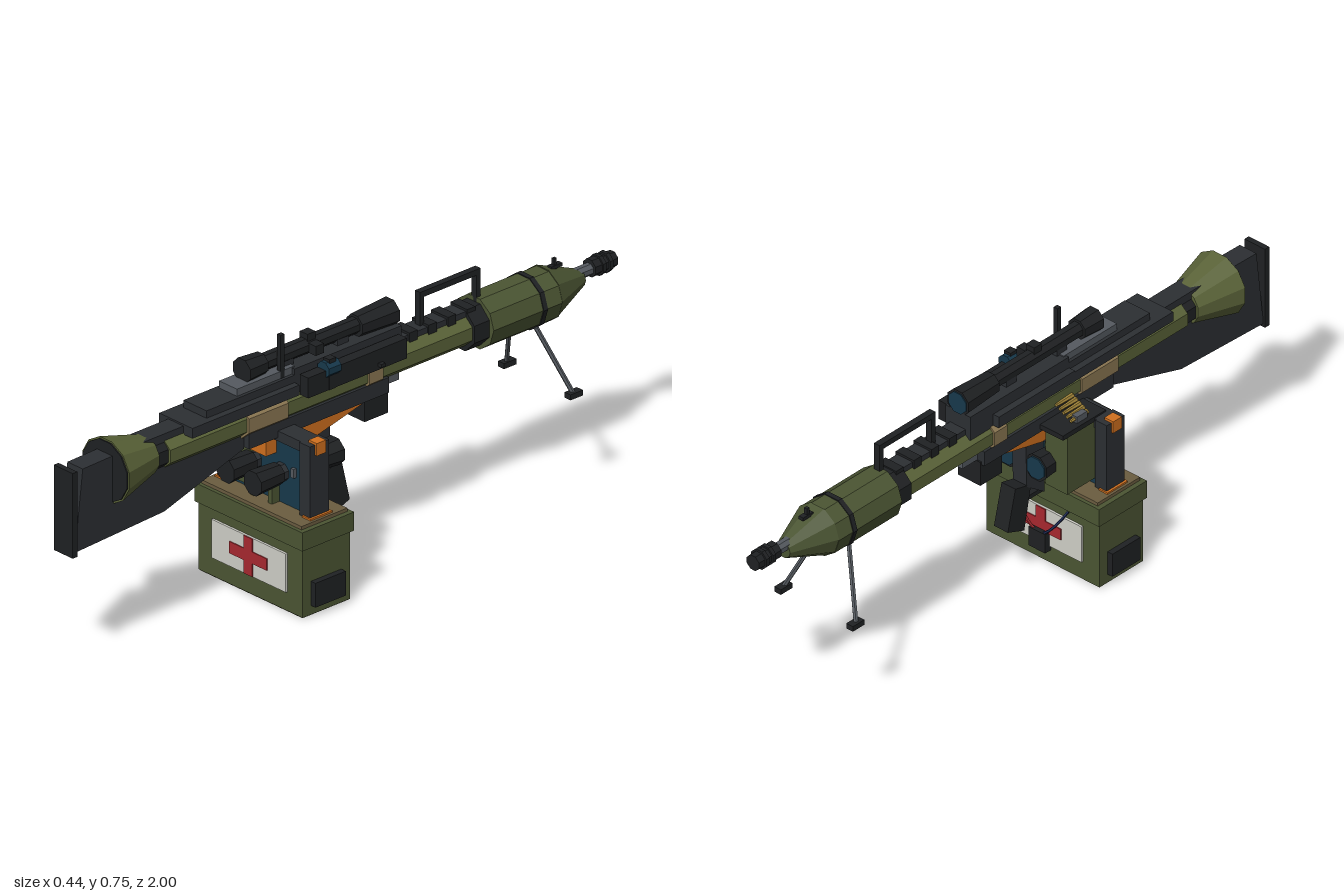
import * as THREE from 'three';

const palette = {
  olive: 0x4b5533, oliveLight: 0x5a6338, black: 0x1f2123, dark: 0x2c2f33, steel: 0x555a60,
  tan: 0x8b7752, canvas: 0x6b5d40, teal: 0x17394c, orange: 0xd0701f, red: 0xa8282f,
  white: 0xd0d0c8, brass: 0xa08338, brown: 0x4a4030, blue: 0x22305c,
};
const mats = {};
for (const k in palette) mats[k] = new THREE.MeshStandardMaterial({ color: palette[k], flatShading: true });

export function createModel() {
  const model = new THREE.Group();
  const add = (name, geo, color, x = 0, y = 0, z = 0) => {
    const m = new THREE.Mesh(geo, mats[color]);
    m.name = name;
    m.position.set(x, y, z);
    model.add(m);
    return m;
  };
  // box given by its ranges
  const box = (name, color, x0, x1, y0, y1, z0, z1) =>
    add(name, new THREE.BoxGeometry(x1 - x0, y1 - y0, z1 - z0), color, (x0 + x1) / 2, (y0 + y1) / 2, (z0 + z1) / 2);
  // cylinder along z: radius r0 at z0 (rear end), r1 at z1 (muzzle side), z0 > z1
  const barrel = (name, color, x, y, z0, z1, r0, r1 = r0, sides = 8) => {
    const g = new THREE.CylinderGeometry(r0, r1, z0 - z1, sides);
    g.rotateY(Math.PI / sides).rotateX(Math.PI / 2);
    return add(name, g, color, x, y, (z0 + z1) / 2);
  };
  // straight bar between two points
  const rod = (name, color, a, b, r, sides = 6) => {
    const p = new THREE.Vector3(...a), q = new THREE.Vector3(...b), d = q.clone().sub(p);
    const m = add(name, new THREE.CylinderGeometry(r, r, d.length(), sides), color);
    m.position.copy(p).lerp(q, 0.5);
    m.quaternion.setFromUnitVectors(new THREE.Vector3(0, 1, 0), d.normalize());
    return m;
  };
  // side profile of [z, y] points, extruded across x
  const profile = (name, color, pts, width, x = 0) => {
    const s = new THREE.Shape(pts.map(([z, y]) => new THREE.Vector2(-z, y)));
    const g = new THREE.ExtrudeGeometry(s, { depth: width, bevelEnabled: false });
    g.translate(0, 0, -width / 2).rotateY(Math.PI / 2);
    return add(name, g, color, x);
  };
  const sides = [-1, 1];

  // Stock
  profile('stock', 'dark', [[0.985, 0.355], [0.66, 0.37], [0.37, 0.46], [0.37, 0.6], [0.72, 0.6], [0.957, 0.594]], 0.06);
  box('buttPad', 'black', -0.037, 0.037, 0.345, 0.597, 0.983, 1);

  // Launcher tube, flared rear and bands
  barrel('launchTube', 'oliveLight', 0, 0.54, 0.66, -0.5, 0.058).scale.y = 0.86;
  barrel('rearCollar', 'black', 0, 0.54, 0.705, 0.655, 0.05);
  barrel('rearBell', 'oliveLight', 0, 0.543, 0.845, 0.7, 0.095, 0.056, 12);
  barrel('bellMouth', 'black', 0, 0.543, 0.849, 0.84, 0.09, 0.09, 12);
  barrel('rearBand', 'tan', 0, 0.54, 0.38, 0.235, 0.065).scale.y = 0.86;
  barrel('foreBand', 'tan', 0, 0.54, -0.06, -0.11, 0.065).scale.y = 0.86;

  // Warhead, nose and muzzle
  barrel('warheadCollar', 'black', 0, 0.54, -0.44, -0.505, 0.066);
  barrel('warhead', 'olive', 0, 0.54, -0.495, -0.745, 0.078, 0.078, 10);
  barrel('warheadRing', 'black', 0, 0.54, -0.675, -0.69, 0.081, 0.081, 10);
  barrel('noseCone', 'olive', 0, 0.543, -0.745, -0.88, 0.078, 0.025, 10);
  barrel('barrelTip', 'steel', 0, 0.557, -0.84, -0.93, 0.018);
  barrel('muzzleBrake', 'black', 0, 0.56, -0.915, -1, 0.027, 0.024);
  for (const z of [-0.94, -0.965]) barrel('brakeRing', 'black', 0, 0.56, z, z - 0.012, 0.031);
  box('frontSightPost', 'black', -0.005, 0.005, 0.57, 0.632, -0.792, -0.782);
  box('frontSightBar', 'black', -0.008, 0.008, 0.603, 0.613, -0.81, -0.77);

  // Bipod
  for (const s of sides) {
    rod('bipodLeg', 'steel', [s * 0.05, 0.48, -0.675], [s * 0.13, 0.295, -0.735], 0.007);
    box('bipodFoot', 'black', s * 0.13 - 0.012, s * 0.13 + 0.012, 0.284, 0.3, -0.76, -0.715);
  }

  // Receiver
  box('rearReceiver', 'dark', -0.065, 0.065, 0.575, 0.605, 0.2, 0.59);
  box('receiverStep', 'dark', -0.045, 0.045, 0.6, 0.627, 0.2, 0.52);
  box('receiverCover', 'steel', -0.035, 0.035, 0.62, 0.648, 0.19, 0.4);
  box('topCover', 'dark', -0.045, 0.045, 0.57, 0.645, -0.19, 0.2);
  box('lowerReceiver', 'dark', -0.05, 0.05, 0.465, 0.51, -0.14, 0.37);
  box('lowerFore', 'steel', -0.025, 0.025, 0.475, 0.505, -0.2, -0.14);
  box('foreBlock', 'black', -0.04, 0.04, 0.4, 0.475, -0.145, -0.06);
  box('handguard', 'dark', -0.028, 0.028, 0.56, 0.598, -0.5, -0.18);
  for (let i = 0; i < 4; i++) box('handguardRib', 'black', -0.033, 0.033, 0.57, 0.605, -0.26 - i * 0.07, -0.23 - i * 0.07);
  box('rightSidePlate', 'black', 0.055, 0.088, 0.57, 0.63, -0.17, 0.19);
  box('leftSidePlate', 'dark', -0.066, -0.04, 0.575, 0.61, -0.1, 0.2);
  box('sideSightMount', 'black', 0.066, 0.09, 0.57, 0.66, 0.09, 0.115);
  barrel('sideSight', 'teal', 0.077, 0.63, 0.125, 0.08, 0.024);
  box('chargingHandle', 'black', 0.06, 0.1, 0.58, 0.59, -0.08, -0.065);
  for (const [z0, z1] of [[0.22, 0.29], [-0.08, 0.17]])
    profile('orangeGuard', 'orange', [[z1, 0.41], [z1 - 0.06, 0.41], [z0, 0.455], [z0, 0.468], [z1, 0.468]], 0.06);

  // Carry handle
  box('carryGrip', 'black', -0.01, 0.01, 0.68, 0.697, -0.51, -0.29);
  for (const z of [-0.51, -0.305]) box('carryPost', 'black', -0.01, 0.01, 0.59, 0.69, z, z + 0.015);

  // Scope and antenna
  barrel('scopeEyepiece', 'black', 0, 0.674, 0.35, 0.28, 0.037, 0.032);
  barrel('scopeTube', 'black', 0, 0.674, 0.29, -0.06, 0.024);
  barrel('scopeObjective', 'black', 0, 0.672, -0.06, -0.19, 0.034, 0.041);
  barrel('scopeLens', 'teal', 0, 0.672, -0.185, -0.193, 0.034);
  box('scopeTurret', 'black', -0.015, 0.015, 0.68, 0.712, 0.095, 0.125);
  box('scopeSideKnob', 'black', 0.015, 0.048, 0.66, 0.688, 0.095, 0.125);
  for (const z of [0.2, 0]) box('scopeMount', 'dark', -0.02, 0.02, 0.64, 0.665, z - 0.02, z + 0.02);
  box('antenna', 'black', 0.022, 0.036, 0.62, 0.755, 0.228, 0.242);

  // Grip and magazine
  profile('grip', 'dark', [[0.12, 0.47], [0.05, 0.47], [0.055, 0.29], [0.125, 0.24]], 0.05);
  profile('magazine', 'black', [[0.072, 0.29], [0.01, 0.305], [-0.02, 0.18], [0.045, 0.155]], 0.05);
  box('triggerGuard', 'black', -0.012, 0.012, 0.232, 0.245, 0.04, 0.15);

  // Twin field glasses
  for (const s of sides) {
    const x = s * 0.053;
    barrel('glassesEyepiece', 'black', x, 0.362, 0.36, 0.27, 0.037, 0.032);
    barrel('glassesBody', 'dark', x, 0.362, 0.28, 0.14, 0.028);
    barrel('glassesObjective', 'black', x, 0.362, 0.16, 0.06, 0.034, 0.042);
    barrel('glassesLens', 'teal', x, 0.362, 0.065, 0.056, 0.035);
  }
  box('glassesBridge', 'dark', -0.05, 0.05, 0.35, 0.38, 0.18, 0.25);

  // Frame carrying the weapon
  for (const s of sides) {
    const x = s * 0.16;
    box('framePost', 'dark', x - 0.021, x + 0.021, 0.265, 0.485, 0.2, 0.27);
    box('postCap', 'orange', s * 0.172 - 0.016, s * 0.172 + 0.016, 0.455, 0.492, 0.218, 0.252);
    box('postFoot', 'orange', s * 0.172 - 0.016, s * 0.172 + 0.016, 0.268, 0.275, 0.195, 0.275);
    box('centreStrut', 'olive', s * 0.035 - 0.008, s * 0.035 + 0.008, 0.265, 0.33, 0.2, 0.28);
  }
  box('frameTop', 'dark', -0.15, 0.15, 0.455, 0.485, 0.205, 0.265);
  box('backPanel', 'teal', -0.14, 0.14, 0.265, 0.456, 0.212, 0.252);
  box('panelSwitch', 'steel', 0.097, 0.108, 0.363, 0.39, 0.25, 0.262);

  // Ammunition box with cartridge belt
  box('ammoBox', 'olive', -0.13, -0.052, 0.29, 0.48, 0.1, 0.272);
  box('ammoLid', 'black', -0.133, -0.05, 0.475, 0.49, 0.08, 0.25);
  box('ammoLatch', 'steel', -0.12, -0.1, 0.485, 0.51, 0.15, 0.19);
  for (let i = 0; i < 5; i++)
    barrel('cartridge', 'brass', -0.11 + i * 0.013, 0.5 + i * 0.007, 0.2, 0.135, 0.008, 0.005, 6);

  // Medical case
  box('caseBase', 'brown', -0.2, 0.2, 0, 0.006, 0.15, 0.315);
  box('caseBody', 'olive', -0.204, 0.204, 0.003, 0.21, 0.146, 0.318);
  box('caseLid', 'olive', -0.211, 0.211, 0.205, 0.26, 0.137, 0.326);
  box('caseTop', 'canvas', -0.196, 0.196, 0.258, 0.27, 0.148, 0.315);
  for (const s of sides) {
    box('caseHandle', 'black', s * 0.211 - 0.011, s * 0.211 + 0.011, 0.03, 0.102, 0.178, 0.288);
    const z = 0.232 + s * 0.088;
    box('emblemPanel', 'white', -0.145, 0.145, 0.06, 0.174, z - 0.005, z + 0.005);
    box('crossBar', 'red', -0.073, 0.073, 0.1, 0.135, z - 0.008, z + 0.008);
    box('crossUpright', 'red', -0.017, 0.017, 0.061, 0.173, z - 0.008, z + 0.008);
  }

  // Small instrument with two leads
  box('instrument', 'black', -0.03, 0.03, 0.045, 0.105, 0.122, 0.146);
  [['red', 0.08], ['blue', -0.1]].forEach(([color, x]) => {
    const curve = new THREE.QuadraticBezierCurve3(
      new THREE.Vector3(Math.sign(x) * 0.015, 0.1, 0.13),
      new THREE.Vector3(x * 0.6, 0.13, 0.115),
      new THREE.Vector3(x, 0.205, 0.138));
    add('lead', new THREE.TubeGeometry(curve, 8, 0.004, 5), color);
  });
  return model;
}
